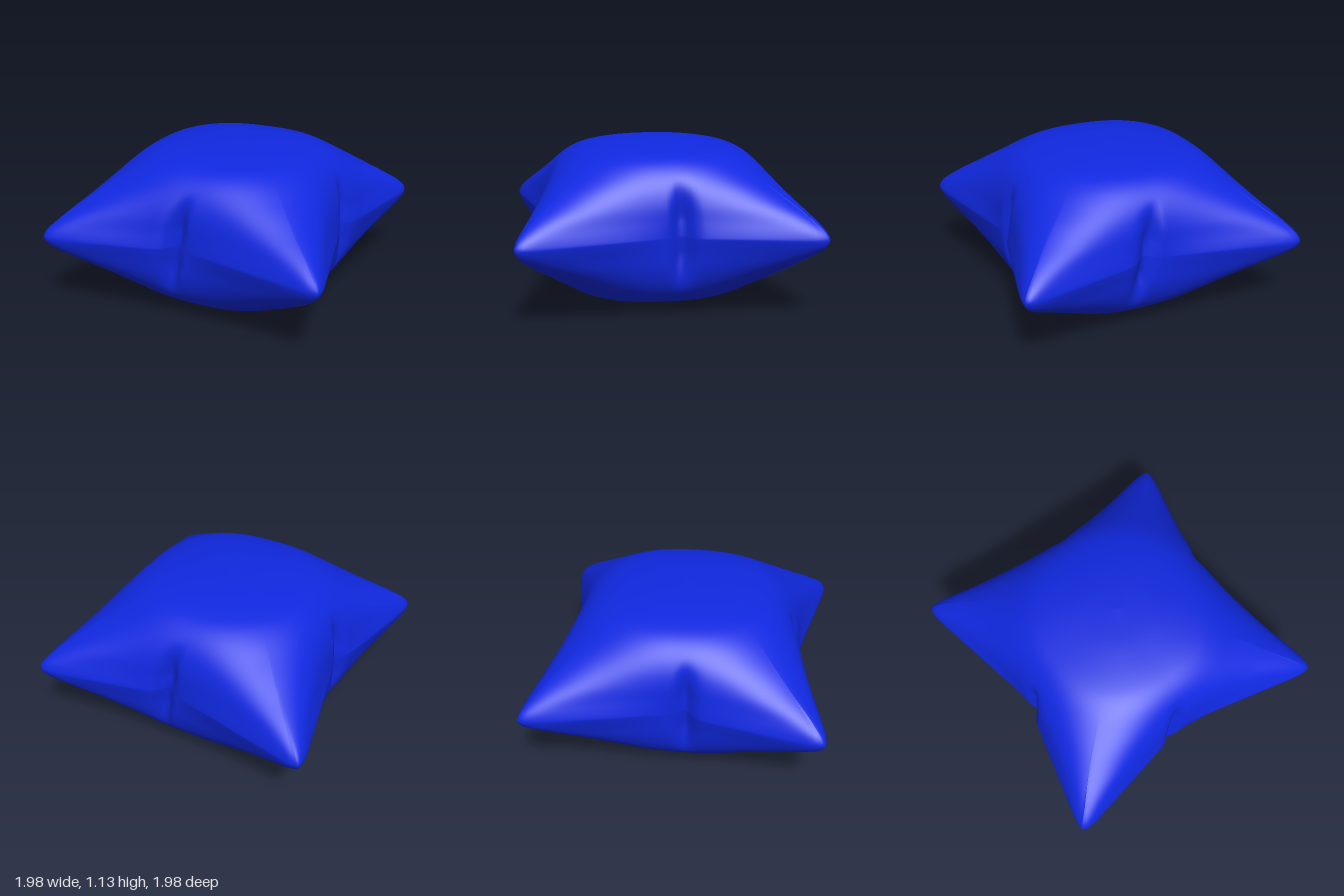
import * as THREE from 'three';

const MID = 0.57; // height of the seam plane
const SIDE = 56; // segments along each of the four sides
const LEVELS = 96;

// Half profile, seam to crown: corner reach, mid-side reach, height above seam
const HALF = [
  [1.02, 0.79, 0], [1.01, 0.79, 0.04], [0.98, 0.788, 0.1], [0.925, 0.78, 0.2], [0.845, 0.752, 0.3],
  [0.735, 0.7, 0.39], [0.63, 0.625, 0.46], [0.53, 0.53, 0.505], [0.28, 0.28, 0.552], [0, 0, 0.567],
];

// One point of a side: returns [outward reach, offset along the side]
function sidePoint(b, corner, middle, dy, foldAt) {
  const h = Math.abs(dy);
  // Square at the seam, nearly round at the crown
  const n = 2 + 18 / (1 + Math.pow(h / 0.11, 2.4));
  const r = Math.pow(1 + Math.pow(Math.abs(b), n), -1 / n);
  const q = b * r;
  const pinch = (corner - middle) * (1 - Math.pow(Math.abs(q), 1 + 2 * h));
  // Pinched fold in the middle of the side: gentle on one flank, steep on the other
  const d = q * corner - foldAt;
  const width = d < 0 ? 0.07 : 0.035;
  const fade = 1 - THREE.MathUtils.smoothstep(h, 0.1, 0.4);
  const fold = 0.08 * fade * Math.exp(-(d * d) / (width * width));
  return [r * (corner - pinch) - fold, q * corner];
}

function cushionGeometry() {
  const lower = HALF.slice(1).reverse().map(([c, m, h]) => new THREE.Vector3(c, m, -h));
  const upper = HALF.map(([c, m, h]) => new THREE.Vector3(c, m, h));
  const profile = new THREE.CatmullRomCurve3([...lower, ...upper]);
  const ring = SIDE * 4;
  const positions = [];
  const indices = [];

  for (let j = 0; j <= LEVELS; j++) {
    const { x: corner, y: middle, z: dy } = profile.getPoint(j / LEVELS);
    for (let i = 0; i < ring; i++) {
      // Sides run +z, +x, -z, -x; opposite sides repeat under a half turn
      const side = Math.floor(i / SIDE);
      const t = ((i % SIDE) / SIDE) * 2 - 1;
      const sign = side < 2 ? 1 : -1;
      if (side % 2 === 0) {
        const [out, along] = sidePoint(t, corner, middle, dy, -0.075 + 0.17 * dy);
        positions.push(along * sign, MID + dy, out * sign);
      } else {
        const [out, along] = sidePoint(-t, corner, middle, dy, -0.06);
        positions.push(out * sign, MID + dy, along * sign);
      }
    }
  }
  for (let j = 0; j < LEVELS; j++) {
    for (let i = 0; i < ring; i++) {
      const a = j * ring + i;
      const b = j * ring + ((i + 1) % ring);
      indices.push(a, b, b + ring, a, b + ring, a + ring);
    }
  }
  const geometry = new THREE.BufferGeometry();
  geometry.setAttribute('position', new THREE.Float32BufferAttribute(positions, 3));
  geometry.setIndex(indices);
  geometry.computeVertexNormals();
  return geometry;
}

export function createModel() {
  const group = new THREE.Group();
  group.name = 'pillow';
  const blueFabric = new THREE.MeshStandardMaterial({ color: 0x1028e0 });
  blueFabric.name = 'blue fabric';
  const cushion = new THREE.Mesh(cushionGeometry(), blueFabric);
  cushion.name = 'cushion';
  group.add(cushion);
  return group;
}
